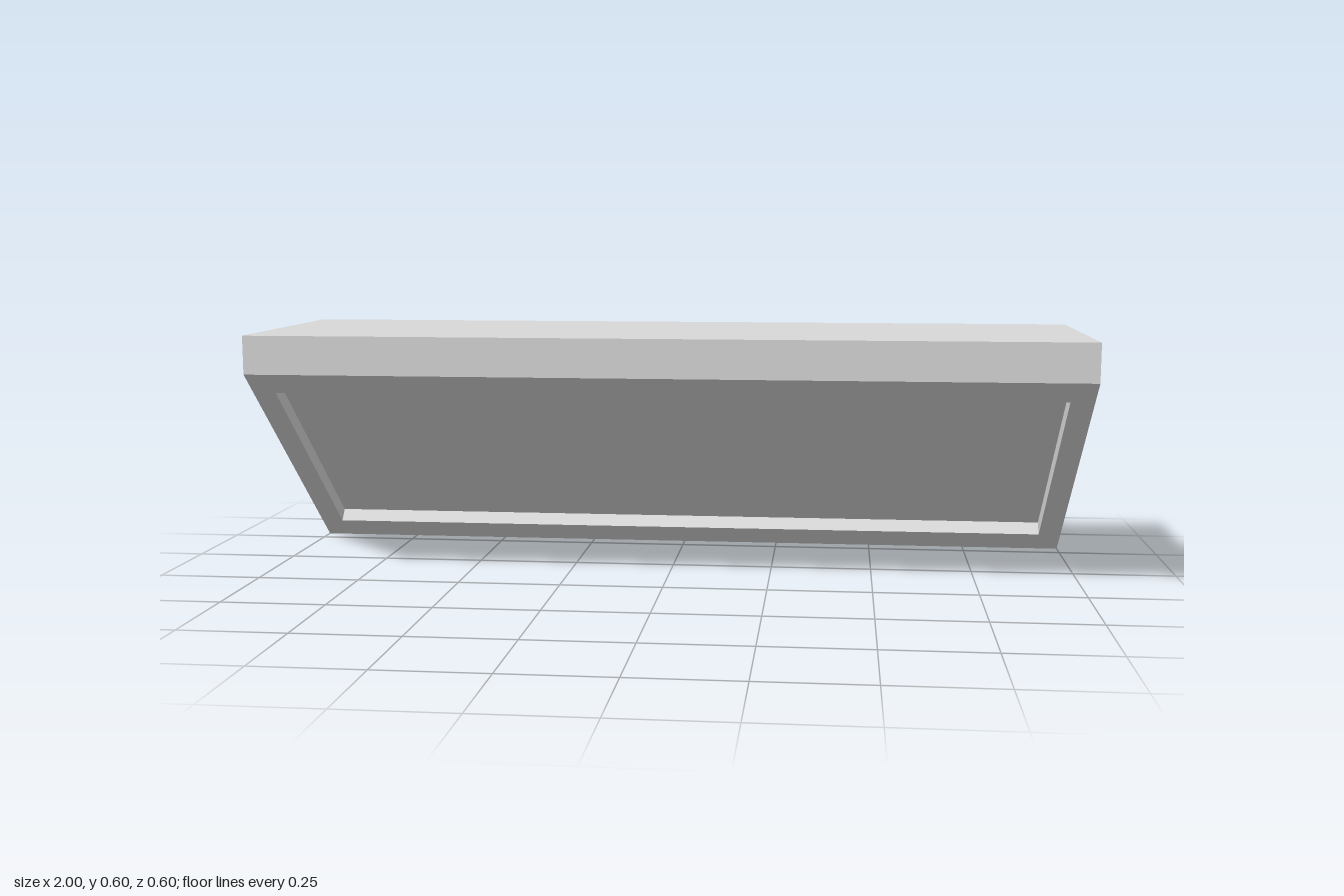
import * as THREE from 'three';

const W = 1, D = 0.3, H = 0.6, LIP = 0.507;   // half width, half depth, height, lower edge of lip
const SLOPE = Math.hypot(LIP, 2 * D);
const HOLE_X = 0.944, HOLE_LOW = 0.077, HOLE_HIGH = 0.708, DEPTH = 0.036;

export function createModel() {
  const model = new THREE.Group();
  model.name = 'wallHood';
  const steel = new THREE.MeshStandardMaterial({ color: 0xd9d9d9 });
  steel.name = 'light grey';

  const add = (parent, name, geometry, place = () => {}) => {
    const mesh = new THREE.Mesh(geometry, steel);
    mesh.name = name;
    place(mesh);
    parent.add(mesh);
  };

  // Flat outer panels
  add(model, 'topPanel', new THREE.PlaneGeometry(2 * W, 2 * D), m => {
    m.rotation.x = -Math.PI / 2;
    m.position.y = H;
  });
  add(model, 'backPanel', new THREE.PlaneGeometry(2 * W, H), m => {
    m.rotation.y = Math.PI;
    m.position.set(0, H / 2, -D);
  });
  add(model, 'frontLip', new THREE.PlaneGeometry(2 * W, H - LIP), m => {
    m.position.set(0, (H + LIP) / 2, D);
  });

  // Tapered side panels, drawn with shape x running along side * -z
  for (const side of [1, -1]) {
    const profile = new THREE.Shape([[-D, 0], [D, LIP], [D, H], [-D, H]]
      .map(([z, y]) => new THREE.Vector2(-side * z, y)));
    add(model, side > 0 ? 'leftSide' : 'rightSide', new THREE.ShapeGeometry(profile), m => {
      m.rotation.y = side * Math.PI / 2;
      m.position.x = side * W;
    });
  }

  // Sloped underside: local y runs up the slope, local z points out of it
  const underside = new THREE.Group();
  underside.name = 'slopedUnderside';
  underside.position.z = -D;
  underside.rotation.x = Math.atan2(2 * D, LIP);
  model.add(underside);

  const rim = new THREE.Shape([[-W, 0], [W, 0], [W, SLOPE], [-W, SLOPE]]
    .map(p => new THREE.Vector2(...p)));
  rim.holes.push(new THREE.Path([[-HOLE_X, HOLE_LOW], [-HOLE_X, HOLE_HIGH], [HOLE_X, HOLE_HIGH], [HOLE_X, HOLE_LOW]]
    .map(p => new THREE.Vector2(...p))));
  add(underside, 'rim', new THREE.ShapeGeometry(rim));

  // Shallow recess: floor panel and four inward-facing walls
  const span = HOLE_HIGH - HOLE_LOW, mid = (HOLE_HIGH + HOLE_LOW) / 2;
  add(underside, 'recessPanel', new THREE.PlaneGeometry(2 * HOLE_X, span), m => {
    m.position.set(0, mid, -DEPTH);
  });
  for (const s of [1, -1]) {
    add(underside, s > 0 ? 'recessTopWall' : 'recessBottomWall', new THREE.PlaneGeometry(2 * HOLE_X, DEPTH), m => {
      m.rotation.x = s * Math.PI / 2;
      m.position.set(0, mid + s * span / 2, -DEPTH / 2);
    });
    add(underside, s > 0 ? 'recessLeftWall' : 'recessRightWall', new THREE.PlaneGeometry(DEPTH, span), m => {
      m.rotation.y = -s * Math.PI / 2;
      m.position.set(s * HOLE_X, mid, -DEPTH / 2);
    });
  }
  return model;
}
